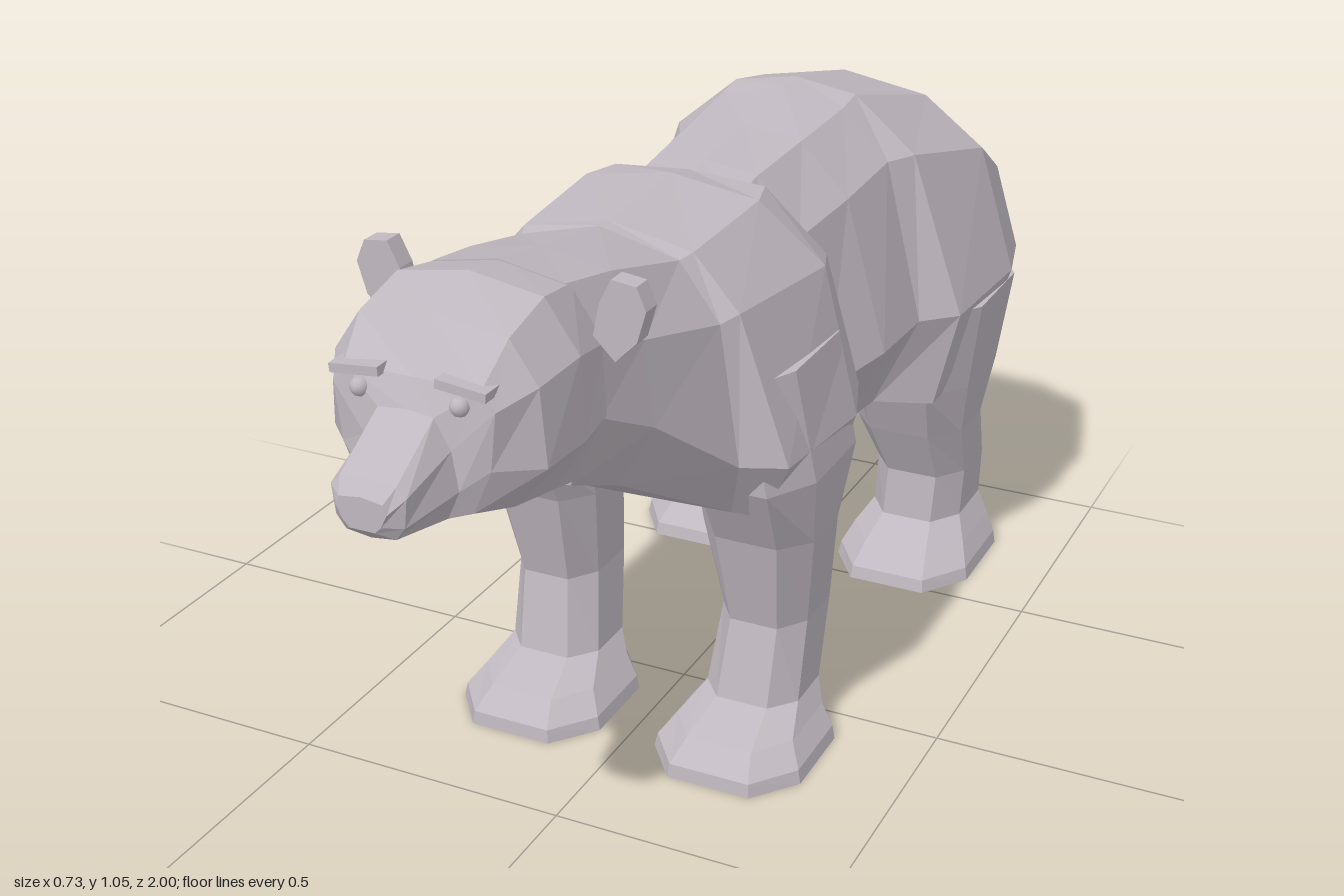
import * as THREE from 'three';

const fur = new THREE.MeshStandardMaterial({ color: 0xc0b8c0 });
fur.name = 'greyFur';

// Faceted skin over a list of closed rings, with both ends capped
function loft(rings) {
  const pos = [];
  const tri = (...pts) => pts.forEach((p) => pos.push(...p));
  const n = rings[0].length;
  const centre = (ring) => [0, 1, 2].map((k) => ring.reduce((s, p) => s + p[k], 0) / n);
  const first = rings[0], last = rings[rings.length - 1];
  const c0 = centre(first), c1 = centre(last);
  for (let j = 0; j < n; j++) {
    const k = (j + 1) % n;
    for (let i = 0; i < rings.length - 1; i++) {
      const a = rings[i][j], b = rings[i][k], c = rings[i + 1][k], d = rings[i + 1][j];
      tri(a, d, c);
      tri(a, c, b);
    }
    tri(c0, first[j], first[k]);
    tri(c1, last[k], last[j]);
  }
  const geo = new THREE.BufferGeometry();
  geo.setAttribute('position', new THREE.Float32BufferAttribute(pos, 3));
  geo.computeVertexNormals();
  return geo;
}

// Symmetric ring from a half profile running top centre to bottom centre.
// A point is [x, y] or [x, y, z] where its z differs from the row's.
function mirrorRing([z, ...half]) {
  const right = half.map(([x, y, pz = z]) => [x, y, pz]);
  const left = right.slice(1, -1).reverse().map(([x, y, pz]) => [-x, y, pz]);
  return [...right, ...left];
}

// Eight-sided leg ring: height, inner x, outer x, back z, front z
const OCT = [[1, -0.5], [1, 0.5], [0.55, 1], [-0.55, 1], [-1, 0.5], [-1, -0.5], [-0.55, -1], [0.55, -1]];
function legRing([y, x0, x1, z0, z1], side) {
  const ring = OCT.map(([u, v]) => [
    side * ((x0 + x1) / 2 + (u * (x1 - x0)) / 2), y, (z0 + z1) / 2 + (v * (z1 - z0)) / 2]);
  return side < 0 ? ring.reverse() : ring;
}

const HIND_BODY = [
  [-0.93, [0, 0.8], [0.1, 0.79], [0.18, 0.74], [0.21, 0.62, -0.92], [0.16, 0.48, -0.89], [0, 0.43, -0.88]],
  [-0.87, [0, 0.88], [0.15, 0.86], [0.28, 0.78], [0.33, 0.62], [0.28, 0.43], [0, 0.41]],
  [-0.73, [0, 0.98], [0.17, 0.95], [0.29, 0.86], [0.365, 0.62], [0.3, 0.42], [0, 0.41]],
  [-0.48, [0, 1.03], [0.12, 1.01], [0.24, 0.91], [0.345, 0.61], [0.3, 0.42], [0, 0.41]],
  [-0.42, [0, 1.025], [0.12, 1], [0.21, 0.91], [0.285, 0.61], [0.2, 0.43], [0, 0.41]],
  [-0.25, [0, 1], [0.11, 0.985], [0.2, 0.89], [0.28, 0.61], [0.18, 0.43], [0, 0.415]],
  [-0.08, [0, 0.985], [0.1, 0.97], [0.18, 0.87], [0.24, 0.6], [0.16, 0.46], [0, 0.45]],
  [0.05, [0, 0.97], [0.1, 0.95], [0.17, 0.85], [0.22, 0.6], [0.15, 0.49], [0, 0.48]],
];

const FRONT_BODY = [
  [0, [0, 0.985, -0.02], [0.14, 0.975, -0.02], [0.23, 0.85, -0.08], [0.285, 0.61, -0.11], [0.24, 0.48, -0.05], [0, 0.46, -0.05]],
  [0.05, [0, 1], [0.16, 0.975], [0.26, 0.86, 0], [0.325, 0.6, 0], [0.28, 0.47, 0.03], [0, 0.46, 0.03]],
  [0.28, [0, 0.99], [0.15, 0.96], [0.23, 0.87], [0.31, 0.61, 0.26], [0.25, 0.49, 0.22], [0, 0.49, 0.22]],
  [0.31, [0, 0.99], [0.14, 0.955], [0.21, 0.86], [0.245, 0.62], [0.21, 0.51, 0.26], [0, 0.51, 0.26]],
  [0.5, [0, 1.02], [0.12, 1], [0.175, 0.9], [0.19, 0.76], [0.13, 0.65], [0, 0.635]],
  [0.62, [0, 1.04], [0.11, 1.02], [0.16, 0.93], [0.165, 0.82], [0.11, 0.7], [0, 0.685]],
];

const HEAD = [
  [0.6, [0, 1.035], [0.11, 1.015], [0.16, 0.93], [0.165, 0.82], [0.11, 0.7], [0, 0.685]],
  [0.7, [0, 1.05], [0.12, 1.03], [0.175, 0.95], [0.18, 0.82], [0.13, 0.735], [0, 0.72]],
  [0.8, [0, 1.02], [0.12, 1.005], [0.165, 0.94], [0.175, 0.82], [0.12, 0.75], [0, 0.745]],
  [0.86, [0, 0.95], [0.11, 0.95], [0.13, 0.92], [0.12, 0.83], [0.09, 0.76], [0, 0.75]],
  [0.88, [0, 0.91], [0.045, 0.905], [0.07, 0.86], [0.08, 0.8], [0.06, 0.755], [0, 0.75]],
  [0.98, [0, 0.85], [0.045, 0.845], [0.06, 0.83], [0.055, 0.785], [0.04, 0.765], [0, 0.76]],
  [1, [0, 0.83], [0.035, 0.825], [0.04, 0.81], [0.03, 0.79], [0.02, 0.78], [0, 0.78]],
];

const TAIL = [
  [-1, [0, 0.655], [0.035, 0.64], [0.03, 0.63], [0, 0.63]],
  [-0.91, [0, 0.82], [0.065, 0.76], [0.04, 0.7, -0.89], [0, 0.69, -0.89]],
];

const FRONT_LEG = [
  [0, 0.055, 0.335, 0, 0.315], [0.025, 0.06, 0.33, 0, 0.312], [0.06, 0.085, 0.305, 0, 0.27],
  [0.095, 0.11, 0.285, -0.01, 0.18], [0.24, 0.125, 0.285, -0.055, 0.15],
  [0.42, 0.105, 0.31, -0.02, 0.195], [0.55, 0.1, 0.325, -0.09, 0.265], [0.75, 0.1, 0.29, -0.09, 0.285],
];

const HIND_LEG = [
  [0, 0.08, 0.36, -0.85, -0.485], [0.025, 0.085, 0.355, -0.85, -0.49], [0.06, 0.1, 0.335, -0.85, -0.54],
  [0.1, 0.125, 0.31, -0.845, -0.6], [0.2, 0.13, 0.315, -0.83, -0.605], [0.31, 0.1, 0.32, -0.79, -0.55],
  [0.42, 0.085, 0.335, -0.85, -0.5], [0.6, 0.08, 0.36, -0.87, -0.465],
];

const EAR = [[0.155, 0.95], [0.19, 0.915], [0.225, 0.95], [0.24, 1], [0.225, 1.035], [0.185, 1.04], [0.165, 1]];

export function createModel() {
  const bear = new THREE.Group();
  bear.name = 'bear';
  const add = (name, geo) => {
    const mesh = new THREE.Mesh(geo, fur);
    mesh.name = name;
    bear.add(mesh);
    return mesh;
  };

  // Trunk, head and tail
  add('hindBody', loft(HIND_BODY.map(mirrorRing)));
  add('shouldersAndNeck', loft(FRONT_BODY.map(mirrorRing)));
  add('head', loft(HEAD.map(mirrorRing)));
  add('tail', loft(TAIL.map(mirrorRing)));

  // Paired parts
  for (const [side, label] of [[1, 'left'], [-1, 'right']]) {
    add(label + 'FrontLeg', loft(FRONT_LEG.map((r) => legRing(r, side))));
    add(label + 'HindLeg', loft(HIND_LEG.map((r) => legRing(r, side))));

    const outline = new THREE.Shape(EAR.map(([x, y]) => new THREE.Vector2(side * x, y)));
    const ear = add(label + 'Ear', new THREE.ExtrudeGeometry(outline, { depth: 0.035, bevelEnabled: false }));
    ear.position.z = 0.59;

    const eye = add(label + 'Eye', new THREE.IcosahedronGeometry(0.015, 1));
    eye.position.set(side * 0.08, 0.924, 0.868);

    const brow = add(label + 'Brow', new THREE.BoxGeometry(0.08, 0.014, 0.04));
    brow.position.set(side * 0.085, 0.95, 0.855);
    brow.rotation.z = side * -0.1;
  }
  return bear;
}
